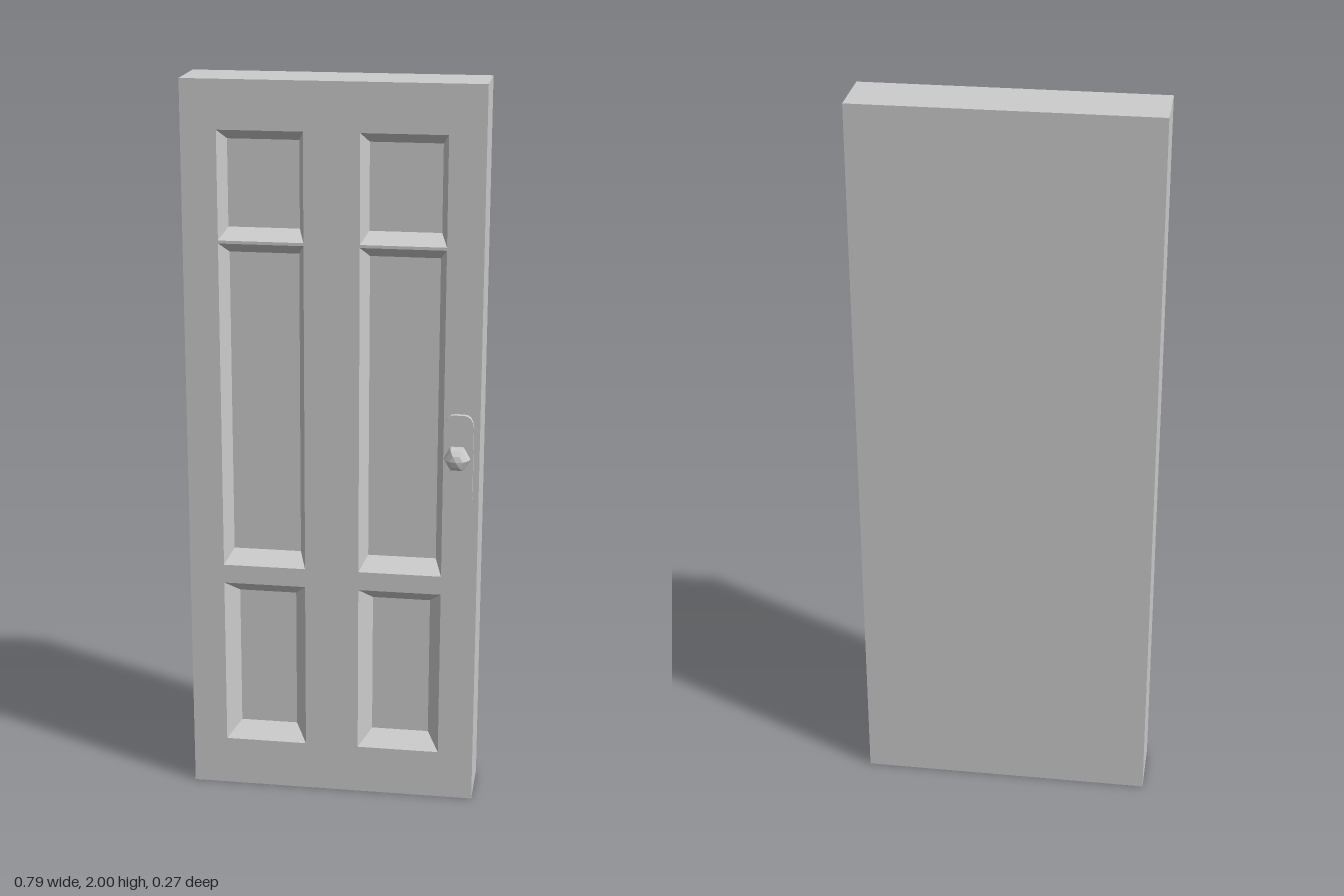
import * as THREE from 'three';

const W = 0.397, H = 2, FRONT = 0.035, BACK = -0.135, DEPTH = 0.053;

const material = new THREE.MeshStandardMaterial({ color: 0xcccccc, flatShading: true });

function addMesh(group, name, geometry, x = 0, y = 0, z = 0) {
  const mesh = new THREE.Mesh(geometry, material);
  mesh.name = name;
  mesh.position.set(x, y, z);
  group.add(mesh);
  return mesh;
}

// Counter-clockwise corners of a rectangle seen from the front
const rect = (x0, x1, y0, y1, z) => [[x0, y0, z], [x1, y0, z], [x1, y1, z], [x0, y1, z]];

// Four walls joining two rectangles, plus a cap on the second one
function tray(outer, inner) {
  const pos = [];
  const quad = (a, b, c, d) => pos.push(...a, ...b, ...c, ...a, ...c, ...d);
  for (let i = 0; i < 4; i++) {
    const j = (i + 1) % 4;
    quad(outer[i], outer[j], inner[j], inner[i]);
  }
  quad(...inner);
  const geometry = new THREE.BufferGeometry();
  geometry.setAttribute('position', new THREE.Float32BufferAttribute(pos, 3));
  geometry.computeVertexNormals();
  return geometry;
}

export function createModel() {
  const group = new THREE.Group();
  group.name = 'door';

  // Sides and back of the leaf: a tray seen from behind
  const frontEdge = rect(-W, W, 0, H, FRONT).reverse();
  const backEdge = rect(-W, W, 0, H, BACK).reverse();
  addMesh(group, 'leafSidesAndBack', tray(frontEdge, backEdge));

  // Panel rows: outer bottom/top, side inset, bottom inset, top inset
  const rows = [
    { name: 'lowerPanel', y0: 0.138, y1: 0.615, side: 0.034, bottom: 0.037, top: 0.04 },
    { name: 'middlePanel', y0: 0.668, y1: 1.572, side: 0.02, bottom: 0.032, top: 0.032 },
    { name: 'upperPanel', y0: 1.58, y1: 1.87, side: 0.018, bottom: 0.027, top: 0.03 },
  ];
  const face = new THREE.Shape(rect(-W, W, 0, H, 0).map(([x, y]) => new THREE.Vector2(x, y)));

  // Sunken panels with sloped edges, mirrored in two columns
  for (const [sideName, x0, x1] of [['right', -0.302, -0.075], ['left', 0.073, 0.3]]) {
    for (const r of rows) {
      const outer = rect(x0, x1, r.y0, r.y1, FRONT);
      const inner = rect(x0 + r.side, x1 - r.side, r.y0 + r.bottom, r.y1 - r.top, FRONT - DEPTH);
      face.holes.push(new THREE.Path(outer.map(([x, y]) => new THREE.Vector2(x, y))));
      const name = sideName + r.name[0].toUpperCase() + r.name.slice(1);
      addMesh(group, name, tray(outer, inner));
    }
  }

  // Front face with openings for the panels
  addMesh(group, 'leafFront', new THREE.ShapeGeometry(face), 0, 0, FRONT);

  // Handle plate with a rounded top
  const handle = new THREE.Group();
  handle.name = 'handle';
  handle.position.set(0.342, 1.03, FRONT);
  group.add(handle);
  const plate = new THREE.Shape();
  plate.moveTo(-0.039, -0.13);
  plate.lineTo(0.039, -0.13);
  plate.lineTo(0.039, 0.07);
  plate.quadraticCurveTo(0.036, 0.103, 0.012, 0.103);
  plate.lineTo(-0.012, 0.103);
  plate.quadraticCurveTo(-0.036, 0.103, -0.039, 0.07);
  addMesh(handle, 'handlePlate',
    new THREE.ExtrudeGeometry(plate, { depth: 0.014, bevelEnabled: false, curveSegments: 4 }));

  // Six-sided stem and knob, with corners to the left and right
  const stem = new THREE.CylinderGeometry(0.018, 0.018, 0.024, 6, 1, true).rotateY(Math.PI / 2);
  addMesh(handle, 'knobStem', stem.rotateX(Math.PI / 2), 0, 0, 0.024);
  const knob = new THREE.SphereGeometry(0.036, 6, 6).rotateX(Math.PI / 2);
  addMesh(handle, 'knob', knob, 0, 0, 0.064);

  return group;
}
